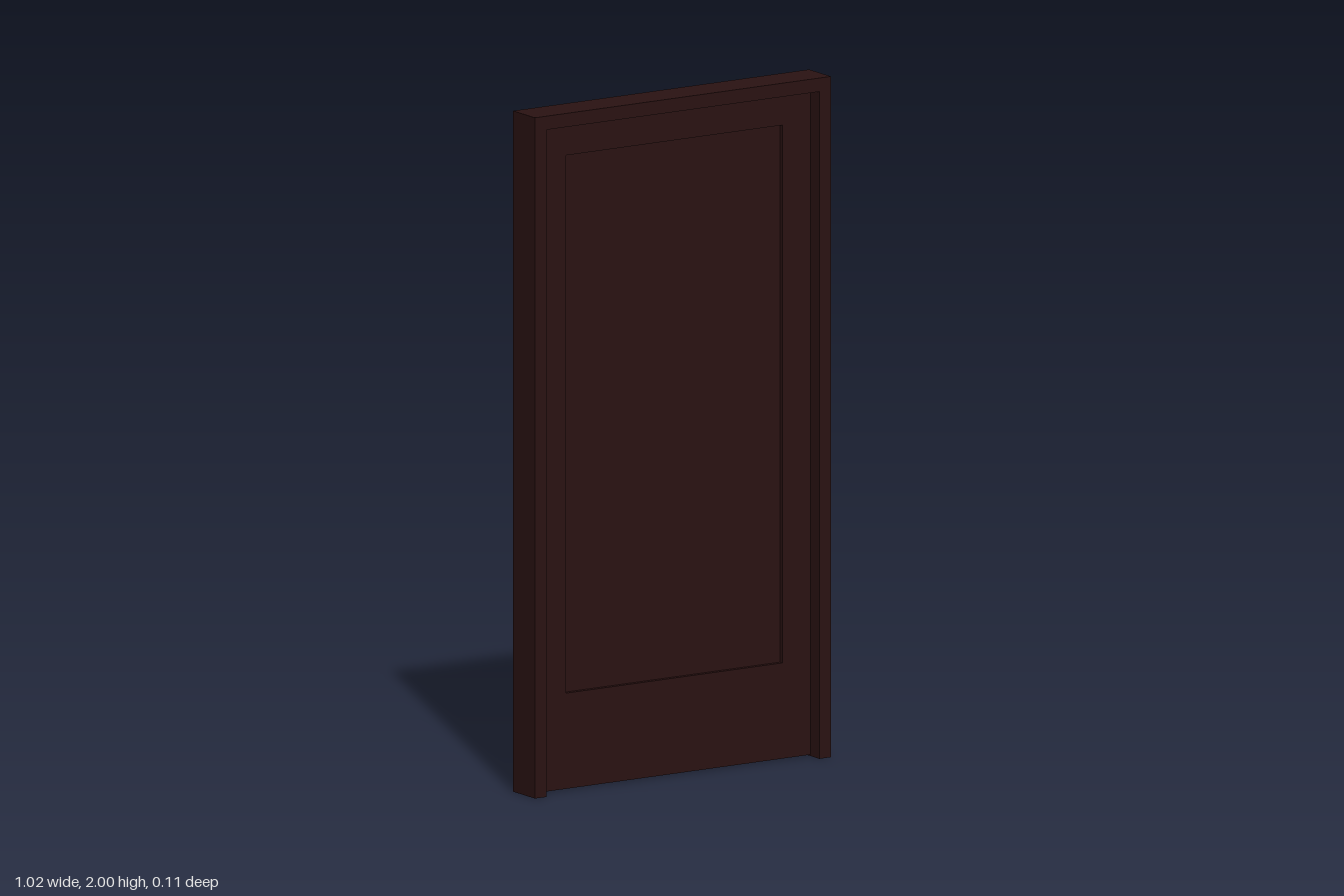
import * as THREE from 'three';

const W = 0.51, H = 2, D = 0.057;         // frame half width, height, half depth
const JAMB = 0.04;                        // frame thickness
const LEAF_BACK = -0.028, LEAF_FRONT = 0.011;
const RECESS = 0.013;                     // how deep the panel sits on each side

const outline = (points, PathType = THREE.Shape) =>
  new PathType(points.map(([x, y]) => new THREE.Vector2(x, y)));

const rect = (x0, y0, x1, y1) => [[x0, y0], [x1, y0], [x1, y1], [x0, y1]];

function slab(name, shape, z0, z1, material) {
  const geometry = new THREE.ExtrudeGeometry(shape, { depth: z1 - z0, bevelEnabled: false });
  geometry.translate(0, 0, z0);
  const mesh = new THREE.Mesh(geometry, material);
  mesh.name = name;
  return mesh;
}

export function createModel() {
  const group = new THREE.Group();
  group.name = 'door';
  const wood = new THREE.MeshStandardMaterial({ color: 0x2a1212 });
  const inner = W - JAMB, top = H - JAMB;

  // Frame: two jambs and a head, open at the floor
  const frame = outline([
    [-W, 0], [-inner, 0], [-inner, top], [inner, top],
    [inner, 0], [W, 0], [W, H], [-W, H],
  ]);
  group.add(slab('doorFrame', frame, -D, D, wood));

  // Leaf: stiles and rails around the panel opening
  const opening = rect(-0.373, 0.285, 0.373, 1.865);
  const leaf = outline(rect(-inner, 0.004, inner, top));
  leaf.holes.push(outline(opening, THREE.Path));
  group.add(slab('doorLeaf', leaf, LEAF_BACK, LEAF_FRONT, wood));

  // Panel recessed on both faces
  group.add(slab('doorPanel', outline(opening), LEAF_BACK + RECESS, LEAF_FRONT - RECESS, wood));

  return group;
}
